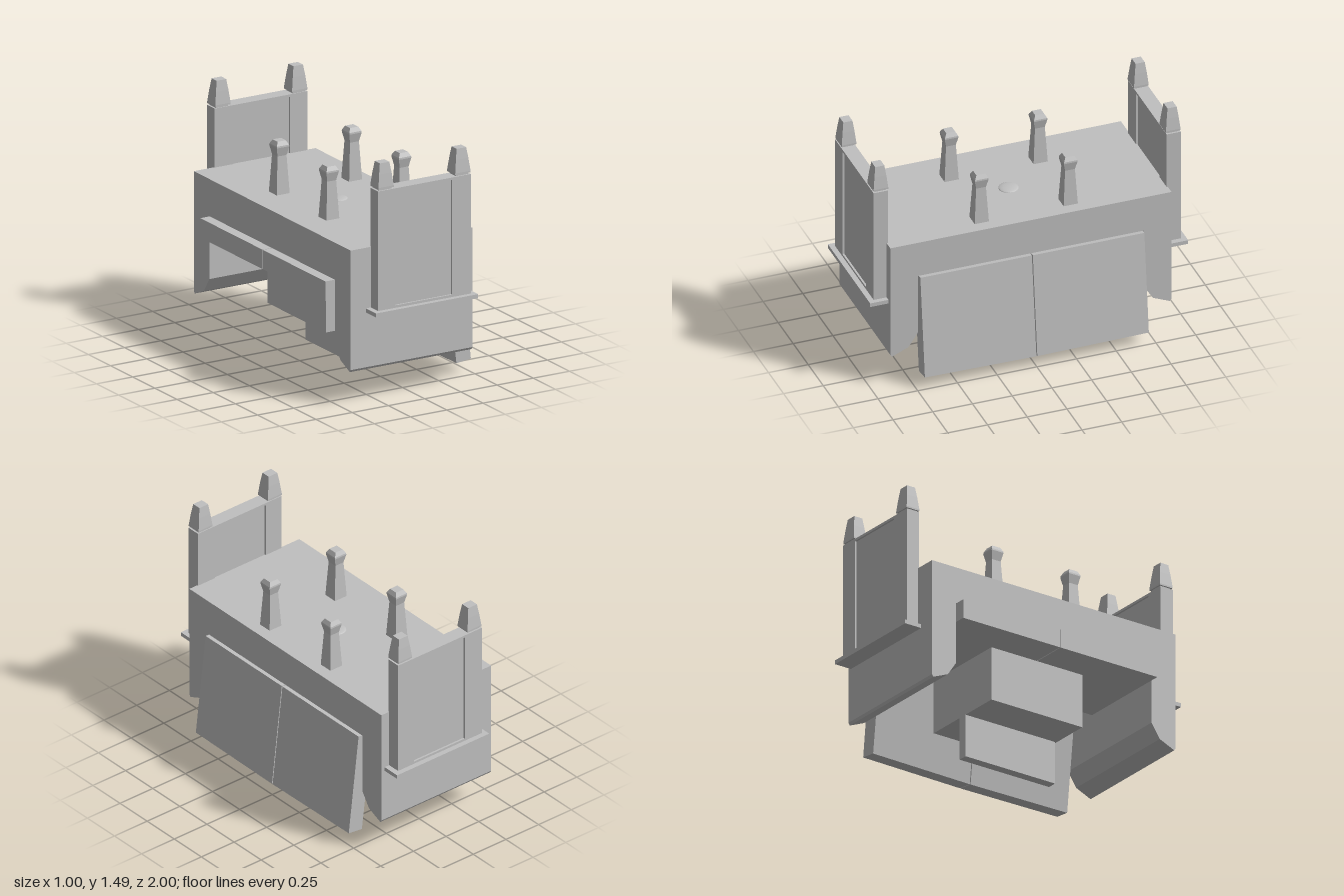
import * as THREE from 'three';

const grey = new THREE.MeshStandardMaterial({ color: 0xc0c0c0, flatShading: true });
grey.name = 'plainGrey';
const smoothGrey = grey;
const CX = 0.02; // middle line of the ends

function add(parent, name, geometry, material = grey) {
  const mesh = new THREE.Mesh(geometry, material);
  mesh.name = name;
  parent.add(mesh);
  return mesh;
}

// Box given by its limits on each axis
function box(parent, name, x0, x1, y0, y1, z0, z1) {
  const g = new THREE.BoxGeometry(x1 - x0, y1 - y0, z1 - z0);
  g.translate((x0 + x1) / 2, (y0 + y1) / 2, (z0 + z1) / 2);
  return add(parent, name, g);
}

// Square turned post from [half width, height] pairs
function squarePost(parent, name, profile, x, y, z) {
  const pts = profile.map(([w, h]) => new THREE.Vector2(w * Math.SQRT2, h));
  const g = new THREE.LatheGeometry(pts, 4).rotateY(Math.PI / 4).translate(x, y, z);
  return add(parent, name, g);
}

function extrude(points, depth) {
  const shape = new THREE.Shape(points.map(([x, y]) => new THREE.Vector2(x, y)));
  return new THREE.ExtrudeGeometry(shape, { depth, bevelEnabled: false });
}

// One end board with framed panel, ledge and two finials; built for +z
function endBoard() {
  const end = new THREE.Group();
  end.name = 'endBoard';
  box(end, 'endPanel', -0.18, 0.21, 0.6, 1.31, 0.89, 0.955);
  box(end, 'endTopRail', -0.18, 0.21, 1.31, 1.325, 0.878, 0.967);
  box(end, 'endBottomRail', -0.18, 0.21, 0.58, 0.6, 0.878, 0.967);
  box(end, 'endLedge', -0.335, 0.37, 0.56, 0.585, 0.87, 1);
  for (const [x0, x1, fx] of [[-0.3, -0.18, -0.245], [0.21, 0.34, 0.285]]) {
    box(end, 'endStile', x0, x1, 0.58, 1.325, 0.878, 0.967);
    const finial = squarePost(end, 'finial',
      [[0, 0], [0.042, 0], [0.042, 0.01], [0.053, 0.01], [0.053, 0.02], [0.043, 0.1], [0.033, 0.165], [0, 0.165]],
      0, 0, 0);
    finial.scale.z = 0.87;
    finial.position.set(fx, 1.325, 0.92);
  }
  return end;
}

export function createModel() {
  const model = new THREE.Group();
  model.name = 'chest';

  // Main body: roof slab with a skirt hanging down at each end
  const half = [[0.885, 0.96], [0.885, 0.22], [0.875, 0.205], [0.77, 0.25], [0.71, 0.34], [0.71, 0.73]];
  const outline = [...half.map(([z, y]) => [-z, y]), ...half.slice().reverse()];
  add(model, 'body', extrude(outline, 0.84).rotateY(-Math.PI / 2).translate(0.4, 0, 0));

  // Core box and central keel below
  box(model, 'coreBox', -0.27, 0.31, 0.27, 0.73, -0.33, 0.33);
  box(model, 'keel', -0.01, 0.05, 0, 0.28, -0.33, 0.32);

  // Small bent handle under the core
  const curve = new THREE.CatmullRomCurve3([
    new THREE.Vector3(0.16, 0.28, 0.08), new THREE.Vector3(0.16, 0.245, 0.02),
    new THREE.Vector3(0.16, 0.245, -0.18), new THREE.Vector3(0.16, 0.28, -0.24)]);
  add(model, 'handle', new THREE.TubeGeometry(curve, 12, 0.012, 6));

  // Side doors in two leaves: one hanging and tilted, one folded in flat
  const doors = {
    hangingDoor: [[0.4, 0.062], [0.5, 0.074], [0.425, 0.73], [0.32, 0.72]],
    foldedDoor: [[-0.505, 0.61], [0.15, 0.61], [0.15, 0.73], [-0.505, 0.73]],
  };
  for (const [name, section] of Object.entries(doors)) {
    for (const z of [-0.705, 0.003]) {
      const leaf = extrude(section, 0.702).translate(0, 0, z);
      if (name === 'hangingDoor') {
        // Lower edge rises slightly towards the ends
        const p = leaf.attributes.position;
        for (let i = 0; i < p.count; i++) {
          if (p.getY(i) < 0.1 && Math.abs(p.getZ(i)) > 0.5) p.setY(i, p.getY(i) + 0.008);
        }
        leaf.computeVertexNormals();
      }
      add(model, name, leaf);
    }
  }

  // Ends
  const front = endBoard();
  const back = endBoard();
  back.rotation.y = Math.PI;
  back.position.x = CX * 2;
  model.add(front, back);

  // Four flared posts on the top
  for (const x of [-0.22, 0.28]) {
    for (const z of [-0.28, 0.28]) {
      squarePost(model, 'topPost',
        [[0.045, 0], [0.031, 0.24], [0.043, 0.295], [0.042, 0.305], [0.028, 0.33], [0, 0.33]], x, 0.955, z);
    }
  }

  // Low round button in the middle of the top
  const button = add(model, 'topButton', new THREE.SphereGeometry(0.06, 32, 16), smoothGrey);
  button.scale.y = 0.2;
  button.position.set(0.015, 0.96, -0.005);
  return model;
}
